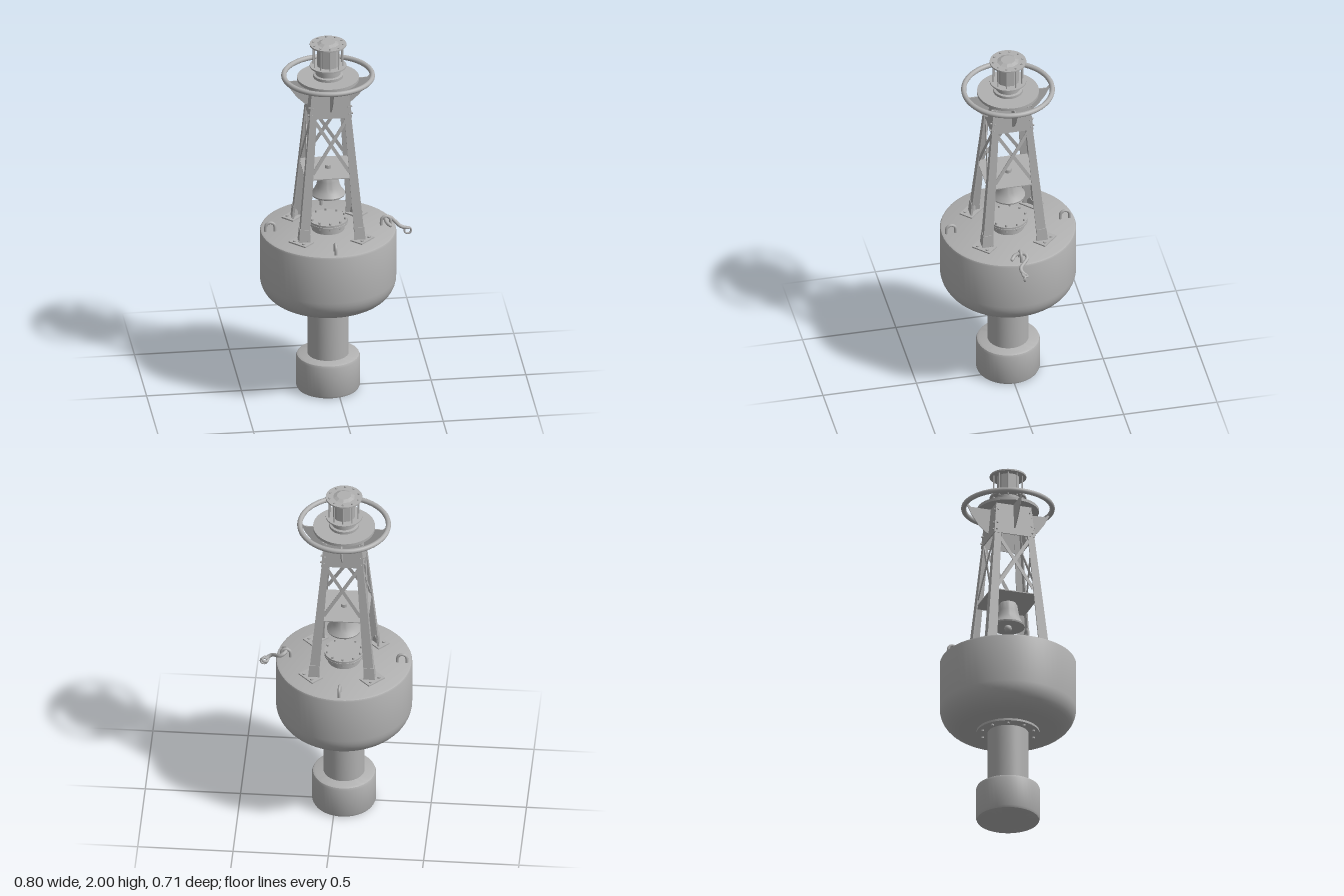
import * as THREE from 'three';
import { toCreasedNormals } from 'three/addons/utils/BufferGeometryUtils.js';

const DECK = 0.92;                       // deck height
const SLOPE = 0.0926;                    // inward lean of the tower
const outer = (y) => 0.173 - SLOPE * (y - DECK);   // tower half width at height y

export function createModel() {
  const root = new THREE.Group();
  root.name = 'buoy';
  const body = new THREE.Group();
  body.name = 'buoyBody';
  body.position.x = -0.043;
  root.add(body);
  const steel = new THREE.MeshStandardMaterial({ color: 0xb0b0b0 });
  steel.name = 'grey steel';

  const add = (name, geo, parent = body, x = 0, y = 0, z = 0) => {
    const m = new THREE.Mesh(geo, steel);
    m.name = name;
    m.position.set(x, y, z);
    parent.add(m);
    return m;
  };
  const group = (name, parent = body, angle = 0) => {
    const g = new THREE.Group();
    g.name = name;
    g.rotation.y = angle;
    parent.add(g);
    return g;
  };
  // Profile of [radius, height] points, from the bottom up
  const lathe = (name, pts, seg = 48, parent = body) => add(name, toCreasedNormals(
    new THREE.LatheGeometry(pts.map((p) => new THREE.Vector2(...p)), seg), 0.6), parent);
  const extrude = (pts, depth) => {
    const g = new THREE.ExtrudeGeometry(new THREE.Shape(pts.map((p) => new THREE.Vector2(...p))),
      { depth, bevelEnabled: false });
    return g.translate(0, 0, -depth / 2);
  };
  const tube = (pts, r, seg = 32) => new THREE.TubeGeometry(
    new THREE.CatmullRomCurve3(pts.map((p) => new THREE.Vector3(...p))), seg, r, 10);
  const boltRing = (name, n, radius, y, r, h) => {
    const g = group(name);
    for (let i = 0; i < n; i++) {
      const a = ((i + 0.5) / n) * Math.PI * 2 + Math.PI / n;
      add('bolt', new THREE.CylinderGeometry(r, r, h, 8), g, Math.sin(a) * radius, y, Math.cos(a) * radius);
    }
  };

  // Float with rounded underside
  const hull = [[0, 0.52]];
  for (let i = 0; i <= 10; i++) {
    const a = (i / 10) * Math.PI / 2;
    hull.push([0.227 + 0.13 * Math.sin(a), 0.65 - 0.13 * Math.cos(a)]);
  }
  hull.push([0.357, 0.907], [0.353, 0.916], [0.344, DECK], [0, DECK]);
  lathe('float', hull, 64);

  // Tail tube, its flange and the counterweight
  lathe('tailTube', [[0.108, 0.18], [0.108, 0.53]]);
  lathe('tailFlange', [[0.1, 0.508], [0.165, 0.508], [0.165, 0.525]]);
  boltRing('tailFlangeBolts', 10, 0.14, 0.506, 0.008, 0.014);
  lathe('counterweight', [[0, 0.003], [0.152, 0.003], [0.163, 0.008], [0.168, 0.02],
    [0.168, 0.18], [0.163, 0.193], [0.152, 0.199], [0, 0.199]]);

  // Deck hatch
  lathe('hatch', [[0.086, 0.91], [0.086, 0.955], [0.103, 0.955], [0.103, 0.966],
    [0.101, 0.967], [0.103, 0.968], [0.103, 0.979], [0, 0.979]]);
  boltRing('hatchBolts', 10, 0.092, 0.968, 0.006, 0.045);

  // Lifting eyes on the deck
  for (let i = 0; i < 4; i++) {
    const g = group('liftingEye', body, i * Math.PI / 2);
    const pts = [[0.281, 0.9, 0], [0.281, 0.945, 0]];
    for (let k = 1; k < 6; k++) {
      const a = Math.PI * (1 - k / 6);
      pts.push([0.305 + 0.024 * Math.cos(a), 0.945 + 0.024 * Math.sin(a), 0]);
    }
    pts.push([0.329, 0.945, 0], [0.329, 0.9, 0]);
    add('eyeBar', tube(pts, 0.008), g);
  }

  // Tower legs: tapering angle irons with flared feet
  const L = [[0, 0], [1, 0], [1, 0.16], [0.16, 0.16], [0.16, 1], [0, 1]];
  const angleIron = (y0, y1, w0, w1, grow) => {
    const g = extrude(L, 1);
    const p = g.attributes.position;
    for (let i = 0; i < p.count; i++) {
      const t = p.getZ(i) + 0.5;
      const y = y0 + t * (y1 - y0);
      const w = w0 + t * (w1 - w0);
      p.setXYZ(i, outer(y) + grow - p.getY(i) * w, y, outer(y) + grow - p.getX(i) * w);
    }
    g.computeVertexNormals();
    return g;
  };
  for (let i = 0; i < 4; i++) {
    const g = group('towerLeg', body, i * Math.PI / 2);
    add('legAngle', angleIron(DECK, 1.785, 0.054, 0.031, 0), g);
    add('legShoe', angleIron(DECK, 0.995, 0.062, 0.052, 0.003), g);
    const foot = group('foot', g, Math.PI / 4);
    add('footPlate', new THREE.BoxGeometry(0.11, 0.007, 0.075), foot, 0, DECK + 0.0035, 0.228);
    for (const s of [-1, 1]) {
      add('footBolt', new THREE.CylinderGeometry(0.009, 0.009, 0.012, 10), foot, s * 0.03, DECK + 0.008, 0.248);
      add('footGusset', extrude([[0, 0], [0.04, 0], [0, 0.05]], 0.005), foot, 0, DECK, 0.215)
        .rotation.y = s > 0 ? 0 : Math.PI;
    }
  }

  // Tower sides: top panel and crossed braces in the leaning plane
  for (let i = 0; i < 4; i++) {
    const turn = group('towerSide', body, i * Math.PI / 2);
    const lean = group('leaningSide', turn);
    lean.position.set(0, DECK, outer(DECK));
    lean.rotation.x = -Math.atan(SLOPE);
    add('topPanel', extrude([[-0.112, 0.69], [0.112, 0.69], [0.096, 0.87], [-0.096, 0.87]], 0.005), lean);
    for (const s of [-1, 1]) {
      const brace = add('crossBrace', new THREE.BoxGeometry(0.018, 0.37, 0.004), lean, 0, 0.54, -0.006 - 0.002 * s);
      brace.rotation.z = s * 0.55;
      for (const [x, y] of [[0.098, 0.71], [0.094, 0.75], [0.087, 0.83]]) {
        add('panelBolt', new THREE.CylinderGeometry(0.005, 0.005, 0.012, 8), lean, s * x, y, 0.005)
          .rotation.x = Math.PI / 2;
      }
    }
    // Fin carrying the guard ring
    add('ringBracket', extrude([[0.095, 1.64], [0.122, 1.65], [0.165, 1.69], [0.2, 1.74],
      [0.222, 1.785], [0.235, 1.8], [0.222, 1.8], [0.205, 1.785], [0.09, 1.785]], 0.005), turn);
  }

  // Bell shelf, bell and clapper
  add('bellShelf', new THREE.BoxGeometry(0.272, 0.005, 0.272), body, 0, 1.268, 0);
  lathe('bell', [[0, 1.135], [0.076, 1.122], [0.088, 1.119], [0.09, 1.127], [0.074, 1.147], [0.062, 1.172],
    [0.055, 1.205], [0.05, 1.24], [0.042, 1.255], [0.022, 1.262], [0, 1.264]], 40);
  add('bellBolt', new THREE.CylinderGeometry(0.018, 0.018, 0.034, 6), body, 0, 1.272, 0);
  add('clapper', new THREE.SphereGeometry(0.02, 20, 14), body, 0, 1.113, 0);

  // Lamp deck and guard ring
  lathe('lampDeck', [[0, 1.784], [0.162, 1.784], [0.162, 1.8], [0, 1.8]], 64);
  add('guardRing', new THREE.TorusGeometry(0.232, 0.0135, 14, 72), body, 0, 1.806, 0).rotation.x = Math.PI / 2;

  // Lantern
  lathe('lanternNeck', [[0.078, 1.795], [0.078, 1.815], [0.065, 1.818], [0.065, 1.862]], 32);
  lathe('lanternLowerFlange', [[0, 1.86], [0.096, 1.86], [0.096, 1.868], [0, 1.868]]);
  add('lanternGlass', new THREE.CylinderGeometry(0.06, 0.06, 0.13, 10).toNonIndexed(), body, 0, 1.925, 0)
    .geometry.computeVertexNormals();
  lathe('lanternUpperFlange', [[0, 1.983], [0.096, 1.983], [0.096, 1.991], [0, 1.991]]);
  const cap = new THREE.CylinderGeometry(0.038, 0.06, 0.01, 10).toNonIndexed();
  cap.computeVertexNormals();
  add('lanternCap', cap, body, 0, 1.995, 0);
  boltRing('lanternRods', 10, 0.079, 1.925, 0.0035, 0.145);
  boltRing('lanternNuts', 10, 0.079, 1.993, 0.006, 0.007);
  boltRing('lanternLowerNuts', 10, 0.079, 1.857, 0.006, 0.007);

  // Hook through the left eye, with its end ring
  const hook = group('mooringHook', root);
  const path = [[0.278, 0.938, 0.048], [0.262, 0.95, 0.03], [0.26, 0.958, 0], [0.272, 0.956, -0.025],
    [0.292, 0.945, -0.03], [0.312, 0.932, -0.01], [0.332, 0.918, 0.012], [0.35, 0.908, 0.013], [0.365, 0.9, 0.003]];
  add('hookBar', tube(path, 0.01, 48), hook);
  add('hookTip', new THREE.SphereGeometry(0.01, 12, 8), hook, ...path[0]);
  add('hookEye', new THREE.TorusGeometry(0.014, 0.007, 10, 20), hook, 0.37, 0.895, 0).rotation.x = 1.1;
  add('endRing', new THREE.TorusGeometry(0.018, 0.005, 10, 24), hook, 0.377, 0.883, 0.003);
  return root;
}
